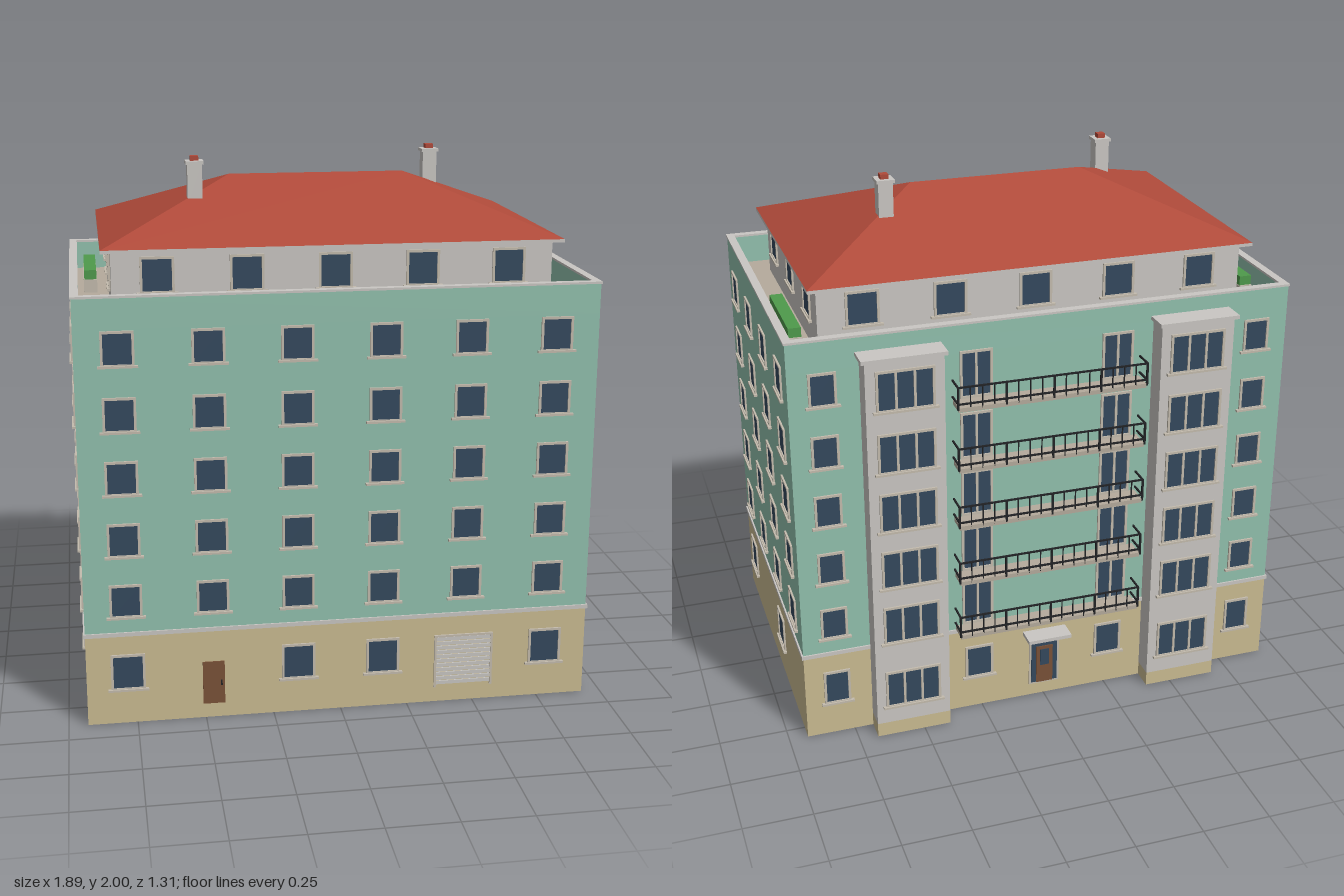
import * as THREE from 'three';

const mat = (name, color) => Object.assign(new THREE.MeshStandardMaterial({ color }), { name });

export function createModel() {
  const M = {
    plaster: mat('mint plaster', 0x92c1ae),
    base: mat('sand base', 0xcbbc92),
    grey: mat('light grey', 0xcac7c3),
    trim: mat('window trim', 0xc4bcae),
    terrace: mat('terrace paving', 0xb5ab9c),
    glass: mat('dark blue glass', 0x34495e),
    roof: mat('red tiles', 0xb04a3a),
    wood: mat('brown wood', 0x7a5238),
    green: mat('planting green', 0x4f9a4c),
    iron: mat('black iron', 0x222326),
  };
  const model = new THREE.Group();
  model.name = 'apartmentBuilding';

  const X = 0.93, ZF = 0.645, ZB = -0.56, ZC = (ZF + ZB) / 2, D = ZF - ZB;
  const floors = [0.475, 0.705, 0.935, 1.165, 1.4];
  const ground = 0.2;

  const group = (name, parent = model) => {
    const g = new THREE.Group();
    g.name = name;
    parent.add(g);
    return g;
  };
  // Box given by its size and centre
  const box = (parent, name, m, w, h, d, x, y, z) => {
    const b = new THREE.Mesh(new THREE.BoxGeometry(w, h, d), m);
    b.name = name;
    b.position.set(x, y, z);
    parent.add(b);
    return b;
  };
  // Hollow rectangular band around the building, from y0 to y1
  const ring = (name, m, grow, t, y0, y1) => {
    const w = X + grow, d = D / 2 + grow;
    const rect = (P, a, b) => new P([[-a, -b], [a, -b], [a, b], [-a, b]].map(p => new THREE.Vector2(...p)));
    const s = rect(THREE.Shape, w, d);
    s.holes.push(rect(THREE.Path, w - t, d - t));
    const geo = new THREE.ExtrudeGeometry(s, { depth: y1 - y0, bevelEnabled: false });
    geo.rotateX(-Math.PI / 2);
    const r = new THREE.Mesh(geo, m);
    r.name = name;
    r.position.set(0, y0, ZC);
    model.add(r);
  };

  // Walls, belt course, parapet and terrace
  ring('baseWalls', M.base, 0, 0.01, 0, 0.34);
  ring('upperWalls', M.plaster, 0, 0.01, 0.34, 1.47);
  ring('parapet', M.plaster, 0, 0.024, 1.47, 1.577);
  ring('parapetCap', M.grey, 0.004, 0.03, 1.577, 1.585);
  ring('beltCourse', M.grey, 0.006, 0.01, 0.341, 0.356);
  box(model, 'terraceFloor', M.terrace, 1.84, 0.02, D - 0.02, 0, 1.46, ZC);

  // Frame standing on a wall; local +z points outwards
  const walls = {
    front: u => [u, ZF, 0], back: u => [u, ZB, Math.PI],
    right: u => [X, u, Math.PI / 2], left: u => [-X, u, -Math.PI / 2],
  };
  const mount = (name, side, u, y) => {
    const g = group(name), [x, z, r] = walls[side](u);
    g.position.set(x, y, z);
    g.rotation.y = r;
    return g;
  };
  // Framed glazing with optional panes and sill
  const glaze = (g, w, h, panes = 1, sill = true) => {
    const f = 0.009;
    box(g, 'glass', M.glass, w, h, 0.016, 0, 0, -0.006);
    for (const s of [-1, 1]) {
      box(g, 'frameSide', M.trim, f, h + f, 0.01, s * w / 2, 0, 0.002);
      box(g, 'frameRail', M.trim, w + f, f, 0.01, 0, s * h / 2, 0.002);
    }
    for (let i = 1; i < panes; i++)
      box(g, 'mullion', M.trim, f, h, 0.01, -w / 2 + i * w / panes, 0, 0.001);
    if (sill) box(g, 'sill', M.trim, w + 0.032, 0.008, 0.016, 0, -h / 2 - 0.003, 0.005);
  };
  const windowAt = (side, u, y, h = 0.118, w = 0.108) => glaze(mount('window', side, u, y), w, h);

  // Regular windows on all four sides
  const cols = [-0.78, -0.468, -0.157, 0.157, 0.465, 0.775];
  const sideCols = [0.495, 0.193, -0.11, -0.412];
  for (const y of floors) {
    cols.forEach(x => windowAt('front', x, y));
    sideCols.forEach(z => { windowAt('right', z, y); windowAt('left', z, y); });
    for (const x of [-0.81, 0.81]) windowAt('back', x, y, 0.118, 0.09);
  }
  for (const x of [cols[0], cols[2], cols[3], cols[5]]) windowAt('front', x, ground, 0.13, 0.115);
  for (const z of [0.495, -0.11]) windowAt('right', z, ground, 0.13, 0.115);
  for (const z of [0.193, -0.412]) windowAt('left', z, ground, 0.13, 0.115);
  for (const x of [-0.81, 0.81]) windowAt('back', x, ground, 0.13, 0.09);
  for (const x of [-0.26, 0.26]) windowAt('back', x, ground, 0.13, 0.1);

  // Front door
  const door = mount('frontDoor', 'front', -0.47, 0.138);
  box(door, 'doorLeaf', M.wood, 0.08, 0.165, 0.018, 0, 0, -0.005);
  box(door, 'doorHandle', M.iron, 0.006, 0.018, 0.008, 0.028, 0, 0.006);

  // Garage shutter
  const garage = mount('garageDoor', 'front', 0.463, 0.162);
  box(garage, 'shutterBack', M.iron, 0.21, 0.2, 0.014, 0, 0, -0.007);
  for (let i = 0; i < 11; i++)
    box(garage, 'slat', M.grey, 0.206, 0.0135, 0.006, 0, -0.085 + i * 0.0175, 0.002);
  for (const s of [-1, 1]) box(garage, 'guideRail', M.trim, 0.008, 0.208, 0.01, s * 0.107, 0, 0.002);
  box(garage, 'lintel', M.trim, 0.222, 0.008, 0.01, 0, 0.102, 0.002);

  // Back entrance with canopy
  const entry = mount('backEntrance', 'back', 0, 0.15);
  box(entry, 'entranceFrame', M.trim, 0.12, 0.2, 0.014, 0, 0, -0.002);
  box(entry, 'entranceGlass', M.glass, 0.104, 0.184, 0.018, 0, 0, -0.002);
  box(entry, 'entranceLeaf', M.wood, 0.066, 0.16, 0.01, 0, -0.012, 0.006);
  box(entry, 'leafPane', M.glass, 0.036, 0.07, 0.004, 0, 0.02, 0.011);
  box(entry, 'canopy', M.grey, 0.17, 0.014, 0.075, 0, 0.135, 0.037);

  // Projecting bays at the back
  for (const s of [-1, 1]) {
    const bay = group('bay');
    box(bay, 'bayFoot', M.base, 0.28, 0.055, 0.08, s * 0.54, 0.0275, -0.6);
    box(bay, 'bayBody', M.grey, 0.28, 1.455, 0.08, s * 0.54, 0.7825, -0.6);
    box(bay, 'bayCap', M.grey, 0.304, 0.014, 0.094, s * 0.542, 1.517, -0.605);
    for (const y of [ground, ...floors]) {
      const g = mount('bayWindow', 'back', s * 0.54, y);
      g.position.z = -0.64;
      glaze(g, 0.2, 0.145, 3);
    }
  }

  // Balconies with iron railings and paired glass doors
  for (const fy of floors) {
    const b = group('balcony'), y = fy - 0.11, z = -0.633, h = 0.085;
    box(b, 'slab', M.terrace, 0.7, 0.016, 0.075, 0, y, -0.5975);
    for (const ry of [0.022, h]) {
      box(b, 'rail', M.iron, 0.71, 0.006, 0.006, 0, y + ry, z);
      for (const s of [-1, 1]) box(b, 'endRail', M.iron, 0.006, 0.006, 0.072, s * 0.352, y + ry, -0.597);
    }
    for (let i = 0; i <= 16; i++) {
      const t = i % 4 ? 0.004 : 0.007;
      box(b, 'baluster', M.iron, t, h, t, -0.352 + i * 0.044, y + h / 2, z);
    }
    for (const s of [-1, 1])
      glaze(mount('balconyDoor', 'back', s * 0.265, y + 0.1), 0.11, 0.17, 2, false);
  }

  // Set-back top storey
  const attic = group('topStorey'), az = 0.0385;
  box(attic, 'atticWalls', M.grey, 1.58, 0.245, 0.922, 0, 1.59, az);
  const atticWindow = (x, z, r) => {
    const g = group('atticWindow', attic);
    g.position.set(x, 1.625, z);
    g.rotation.y = r;
    glaze(g, 0.112, 0.122);
  };
  for (let i = -2; i <= 2; i++) {
    atticWindow(i * 0.315, 0.4995, 0);
    atticWindow(i * 0.315, -0.4225, Math.PI);
  }
  for (const z of [0.35, 0.04, -0.265]) {
    atticWindow(0.79, z, Math.PI / 2);
    atticWindow(-0.79, z, -Math.PI / 2);
  }

  // Hipped roof over a thin eaves board
  box(model, 'eaves', M.grey, 1.65, 0.012, 0.99, 0, 1.714, 0.0375);
  const A = [-0.825, 1.72, 0.5325], B = [0.825, 1.72, 0.5325], C = [0.825, 1.72, -0.4575],
    E = [-0.825, 1.72, -0.4575], L = [-0.33, 1.915, 0.0375], R = [0.33, 1.915, 0.0375];
  const hip = new THREE.BufferGeometry();
  hip.setAttribute('position', new THREE.Float32BufferAttribute(
    [A, B, R, A, R, L, B, C, R, C, E, L, C, L, R, E, A, L].flat(), 3));
  hip.computeVertexNormals();
  const roof = new THREE.Mesh(hip, M.roof);
  roof.name = 'hippedRoof';
  model.add(roof);

  // Chimneys
  for (const [x, z] of [[-0.47, 0.18], [0.465, -0.11]]) {
    const c = group('chimney');
    box(c, 'stack', M.grey, 0.054, 0.15, 0.054, x, 1.9, z);
    box(c, 'stackCap', M.grey, 0.066, 0.012, 0.066, x, 1.977, z);
    box(c, 'pot', M.roof, 0.03, 0.02, 0.03, x, 1.99, z);
  }

  // Terrace planters
  for (const s of [-1, 1]) {
    const p = group('planter');
    box(p, 'planterBox', M.trim, 0.05, 0.05, 0.36, s * 0.857, 1.495, -0.185);
    box(p, 'hedge', M.green, 0.046, 0.04, 0.35, s * 0.857, 1.535, -0.185);
  }
  return model;
}
